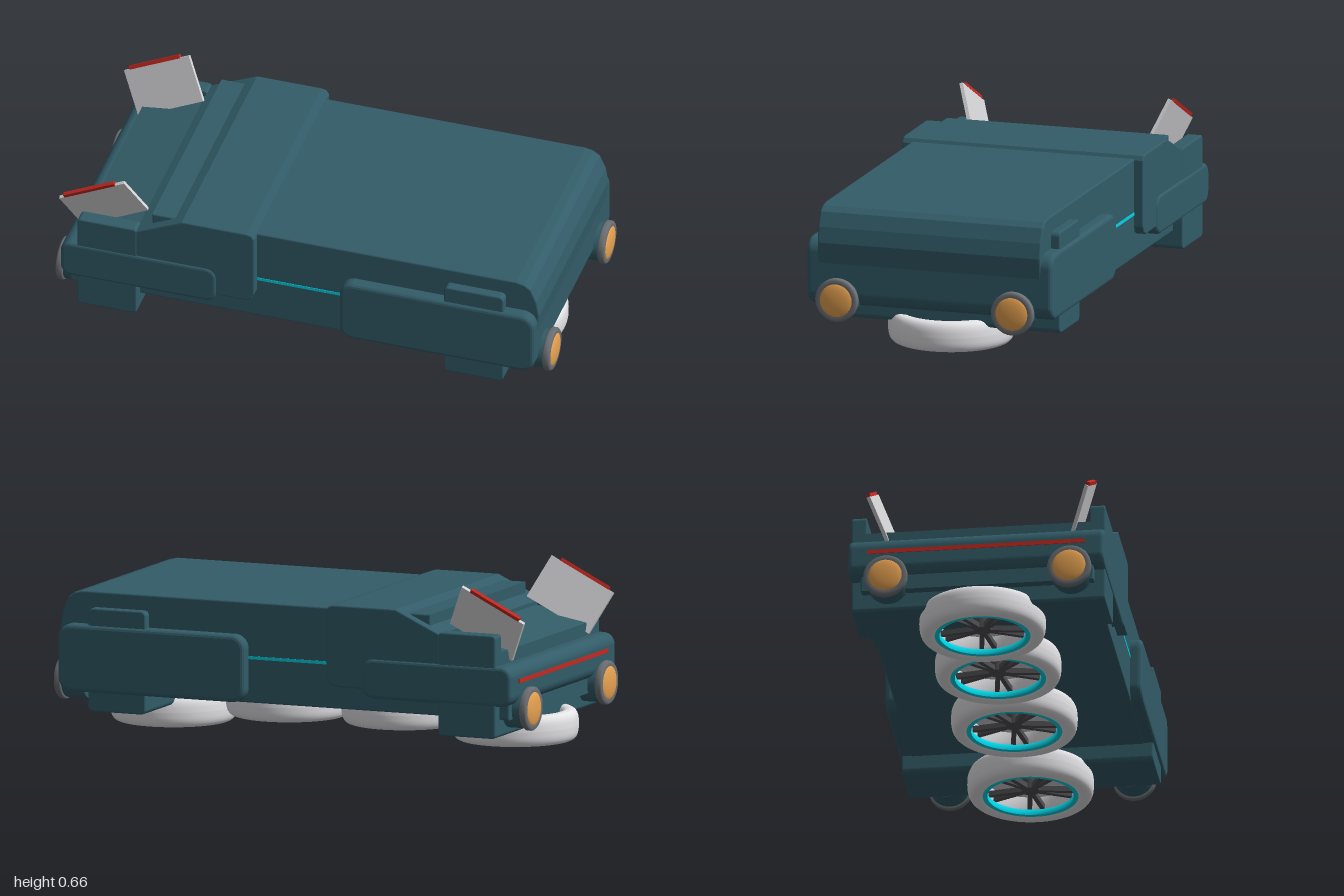
import * as THREE from 'three';

const mat = (name, color) => {
  const m = new THREE.MeshStandardMaterial({ color });
  m.name = name;
  return m;
};

export function createModel() {
  const teal = mat('tealPaint', 0x325c68);
  const pale = mat('paleTyre', 0xe6e6e9);
  const finGrey = mat('finGrey', 0xd4d4d7);
  const dark = mat('darkMetal', 0x505154);
  const ringGrey = mat('lampRingGrey', 0x6c7074);
  const orange = mat('lampOrange', 0xeaa452);
  const red = mat('redLight', 0xc4281f);
  const cyan = mat('cyanGlow', 0x00d4e6);

  const model = new THREE.Group();
  const add = (name, geo, material, parent = model, pos = [0, 0, 0]) => {
    const m = new THREE.Mesh(geo, material);
    m.name = name;
    m.position.set(...pos);
    parent.add(m);
    return m;
  };

  // Side outline extruded across the width, centred on z = 0, with a small bevel
  const slab = (shape, halfWidth, bevel = 0.006) => {
    const g = new THREE.ExtrudeGeometry(shape, {
      depth: 2 * (halfWidth - bevel), bevelEnabled: true, bevelThickness: bevel,
      bevelSize: bevel, bevelOffset: -bevel, bevelSegments: 3, curveSegments: 8,
    });
    return g.translate(0, 0, -(halfWidth - bevel));
  };
  const outline = (pts) => new THREE.Shape(pts.map(([x, y]) => new THREE.Vector2(x, y)));
  const roundRect = (x0, y0, x1, y1, r) => {
    const s = new THREE.Shape();
    s.absarc(x1 - r, y0 + r, r, -Math.PI / 2, 0);
    s.absarc(x1 - r, y1 - r, r, 0, Math.PI / 2);
    s.absarc(x0 + r, y1 - r, r, Math.PI / 2, Math.PI);
    s.absarc(x0 + r, y0 + r, r, Math.PI, Math.PI * 1.5);
    return s;
  };

  // Main hull with rounded nose and a sloping, stepped tail
  add('hull', slab(outline([
    [-0.93, 0.16], [0.88, 0.16], [0.92, 0.25], [0.945, 0.33], [0.952, 0.41],
    [0.942, 0.47], [0.918, 0.525], [0.892, 0.543], [0.86, 0.55], [-0.6, 0.55],
    [-0.6, 0.482], [-0.65, 0.468], [-0.89, 0.42], [-0.89, 0.36], [-0.93, 0.36],
  ]), 0.45), teal);

  // Cab with sloping rear roof
  add('cab', slab(outline([
    [-0.655, 0.25], [-0.215, 0.25], [-0.19, 0.26], [-0.18, 0.285], [-0.18, 0.545],
    [-0.19, 0.562], [-0.21, 0.567], [-0.47, 0.567], [-0.655, 0.482],
  ]), 0.488), teal);

  // Wide nose wrap with rounded sides, cross beams, and the rear bumper
  add('frontWrap', slab(roundRect(0.162, 0.163, 0.945, 0.424, 0.055), 0.496, 0.016), teal);
  add('frontBeam', slab(roundRect(0.58, 0.09, 0.82, 0.49, 0.02), 0.486), teal);
  add('rearBeam', slab(roundRect(-0.89, 0.09, -0.65, 0.42, 0.015), 0.486), teal);
  add('rearBumper', slab(roundRect(-0.957, 0.215, -0.33, 0.37, 0.045), 0.494, 0.014), teal);
  add('rearLightStrip', new THREE.BoxGeometry(0.008, 0.016, 0.84), red, model, [-0.956, 0.31, 0]);

  for (const s of [1, -1]) {
    const side = s > 0 ? 'left' : 'right';

    // Rear shoulder plates
    const plate = slab(roundRect(-0.89, 0.09, -0.65, 0.49, 0.015), 0.03);
    add(side + 'ShoulderPlate', plate, teal, model, [0, 0, s * 0.46]);

    // Glowing strip between cab and nose wrap
    add(side + 'GlowStrip', new THREE.BoxGeometry(0.36, 0.012, 0.006), cyan, model, [-0.01, 0.335, s * 0.449]);

    // Leaning tail fin with a red light along its top edge
    const fin = new THREE.Group();
    fin.name = side + 'Fin';
    fin.position.set(-0.81, 0.52, 0.008 + s * 0.39);
    fin.rotation.set(s * 0.35, 0, 0.46, 'ZXY');
    add('finPlate', new THREE.BoxGeometry(0.29, 0.185, 0.014), finGrey, fin);
    add('finLight', new THREE.BoxGeometry(0.225, 0.014, 0.016), red, fin, [-0.008, 0.098, 0]);
    model.add(fin);

    // Round lamps at nose and tail
    for (const e of [1, -1]) {
      const lamp = new THREE.Group();
      lamp.name = side + (e > 0 ? 'FrontLamp' : 'RearLamp');
      lamp.position.set(e * 0.9, 0.195, 0.008 + s * 0.355);
      lamp.rotation.z = -e * Math.PI / 2;
      add('lampHousing', new THREE.CylinderGeometry(0.077, 0.077, 0.1, 32), teal, lamp, [0, 0.02, 0]);
      const rim = [[0, 0.062], [0.08, 0.062], [0.085, 0.068], [0.085, 0.084], [0.08, 0.09], [0.068, 0.09], [0, 0.086]];
      add('lampRing', new THREE.LatheGeometry(rim.map((p) => new THREE.Vector2(...p)), 32), ringGrey, lamp);
      const dome = new THREE.SphereGeometry(0.068, 32, 10, 0, Math.PI * 2, 0, Math.PI / 2).scale(1, 0.22, 1);
      add('lampLens', dome, orange, lamp, [0, 0.085, 0]);
      model.add(lamp);
    }
  }

  // Flat-lying wheels: soft tyre, glowing ring, paired spokes
  const tyrePts = [];
  const soft = (v) => Math.sign(v) * Math.abs(v) ** 0.75;
  for (let i = 0; i <= 28; i++) {
    const a = (i / 28) * Math.PI * 2;
    tyrePts.push(new THREE.Vector2(0.207 + 0.036 * soft(Math.cos(a)), 0.06 * soft(Math.sin(a))));
  }
  const tyreGeo = new THREE.LatheGeometry(tyrePts, 56);
  const ringGeo = new THREE.LatheGeometry(
    [[0.166, -0.052], [0.19, -0.052], [0.19, -0.03], [0.166, -0.03], [0.166, -0.052]]
      .map((p) => new THREE.Vector2(...p)), 48);
  const spokeGeo = new THREE.BoxGeometry(0.145, 0.02, 0.018).translate(0.093, 0, 0);

  [[-0.757, 0.075], [-0.292, 0.11], [0.192, 0.11], [0.677, 0.06]].forEach(([x, y], i) => {
    const wheel = new THREE.Group();
    wheel.name = 'wheel' + (i + 1);
    wheel.position.set(x, y, 0);
    add('tyre', tyreGeo, pale, wheel);
    add('glowRing', ringGeo, cyan, wheel);
    add('wheelDisc', new THREE.CylinderGeometry(0.178, 0.178, 0.01, 40), finGrey, wheel, [0, 0.03, 0]);
    add('hub', new THREE.CylinderGeometry(0.035, 0.035, 0.05, 20), dark, wheel, [0, -0.005, 0]);
    for (let k = 0; k < 5; k++) {
      for (const d of [-1, 1]) {
        const spoke = add('spoke', spokeGeo, dark, wheel, [0, -0.02, 0]);
        spoke.rotation.y = (k / 5) * Math.PI * 2 + d * 0.15;
      }
    }
    model.add(wheel);
  });

  return model;
}
